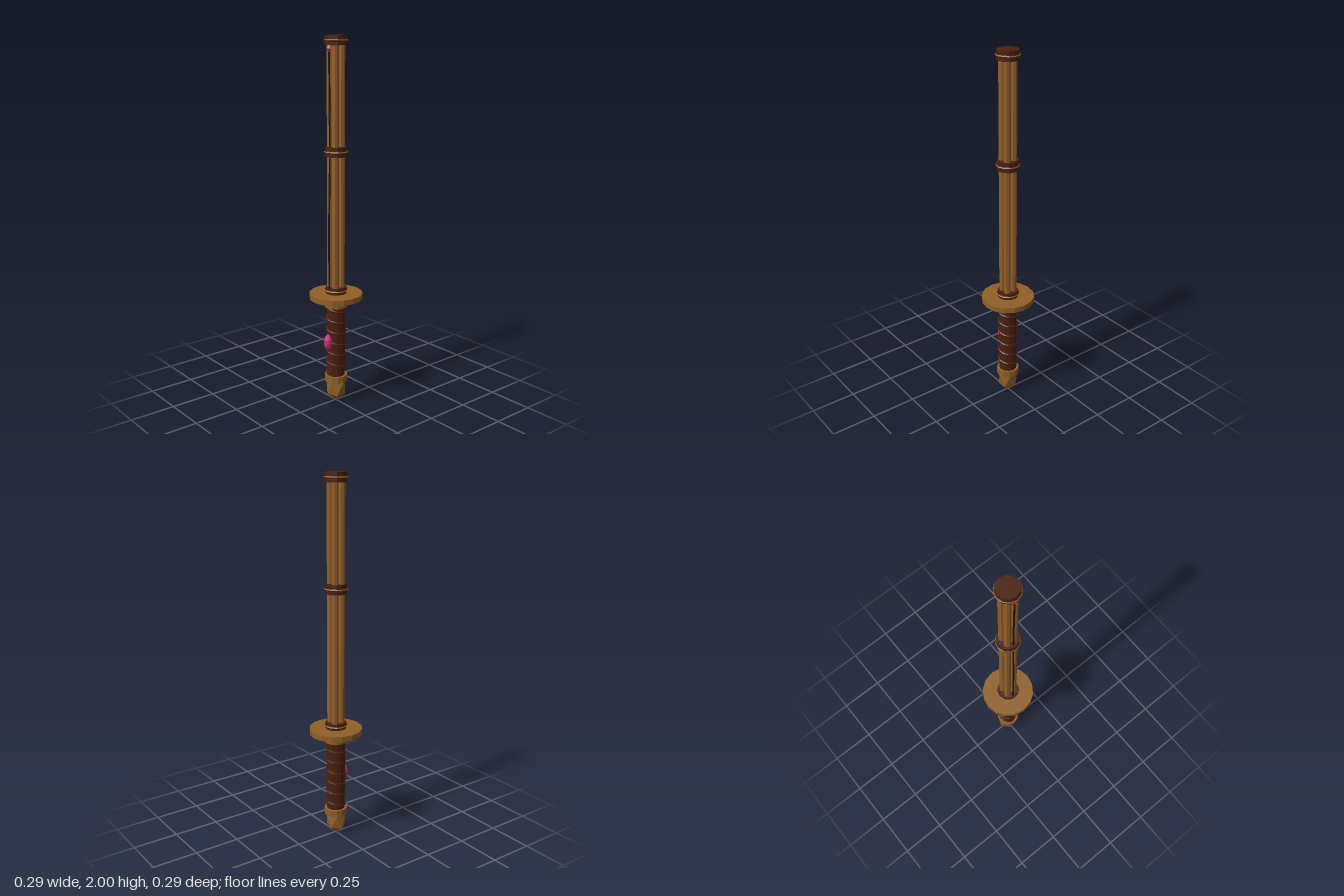
import * as THREE from 'three';

export function createModel() {
  const root = new THREE.Group();
  const paint = (name, color) => {
    const m = new THREE.MeshStandardMaterial({ color });
    m.name = name;
    m.flatShading = true;
    return m;
  };
  const brass = paint('warm brass', 0x8f5f27);
  const bamboo = paint('bamboo', 0x935f2a);
  const leather = paint('dark leather', 0x4a2010);
  const cord = paint('black cord', 0x1c1610);
  const pink = paint('pink gem', 0xc02d6c);

  const add = (name, geometry, material, x = 0, y = 0, z = 0) => {
    const mesh = new THREE.Mesh(geometry, material);
    mesh.name = name;
    mesh.position.set(x, y, z);
    root.add(mesh);
    return mesh;
  };
  // Upright cylinder between two heights
  const drum = (name, r, y0, y1, sides, material, x = 0, z = 0) =>
    add(name, new THREE.CylinderGeometry(r, r, y1 - y0, sides), material, x, (y0 + y1) / 2, z);

  // Pommel: icosahedron standing on a point, stretched in height
  const pommel = new THREE.IcosahedronGeometry(0.065, 0);
  pommel.rotateZ(-Math.atan(2 / (1 + Math.sqrt(5))));
  pommel.scale(1, 1.2, 0.85);
  add('pommel', pommel, brass, 0, 0.083, 0);

  // Grip with metal collars at both ends
  drum('lowerCollar', 0.063, 0.125, 0.163, 12, brass);
  drum('grip', 0.05, 0.16, 0.565, 12, leather);
  drum('upperCollar', 0.063, 0.56, 0.6, 12, brass);

  // Cord wound around the grip
  const turns = 6, steps = turns * 10;
  const helix = [];
  for (let i = 0; i <= steps; i++) {
    const a = (i / steps) * turns * Math.PI * 2;
    helix.push(new THREE.Vector3(Math.sin(a) * 0.051, 0.55 - 0.375 * i / steps, Math.cos(a) * 0.051));
  }
  add('gripWrap', new THREE.TubeGeometry(new THREE.CatmullRomCurve3(helix), 120, 0.006, 5), leather);

  // Round guard
  drum('guard', 0.145, 0.608, 0.638, 16, brass);

  // Blade of four bamboo slats
  for (const sx of [-1, 1])
    for (const sz of [-1, 1])
      drum('bladeSlat', 0.0185, 0.638, 1.98, 8, bamboo, sx * 0.0205, sz * 0.0205);

  // Leather bands, each with a thin raised trim
  for (const [name, y0, y1] of [['baseBand', 0.638, 0.672], ['middleBand', 1.383, 1.435], ['tipCap', 1.95, 2]]) {
    drum(name, 0.057, y0, y1, 12, leather);
    const trim = new THREE.TorusGeometry(0.058, 0.006, 5, 12);
    trim.rotateX(Math.PI / 2);
    add(name + 'Trim', trim, leather, 0, (y0 + y1) / 2, 0);
    const line = new THREE.TorusGeometry(0.061, 0.004, 4, 12);
    line.rotateX(Math.PI / 2);
    add(name + 'Line', line, brass, 0, (y0 + y1) / 2, 0);
  }

  // Cord stretched along the front of the blade
  const stringPath = new THREE.CatmullRomCurve3([
    new THREE.Vector3(0, 0.66, 0.046),
    new THREE.Vector3(0, 1.0, 0.047),
    new THREE.Vector3(0, 1.4, 0.041),
    new THREE.Vector3(0, 1.93, 0.045),
  ]);
  add('bladeString', new THREE.TubeGeometry(stringPath, 16, 0.005, 5), cord);

  // Faceted gems on the grip and near the tip
  add('gripGem', new THREE.IcosahedronGeometry(1, 1), pink, 0, 0.362, 0.054).scale.set(0.025, 0.046, 0.025);
  add('tipGem', new THREE.OctahedronGeometry(1, 0), pink, 0, 1.935, 0.046).scale.set(0.016, 0.026, 0.016);

  return root;
}
